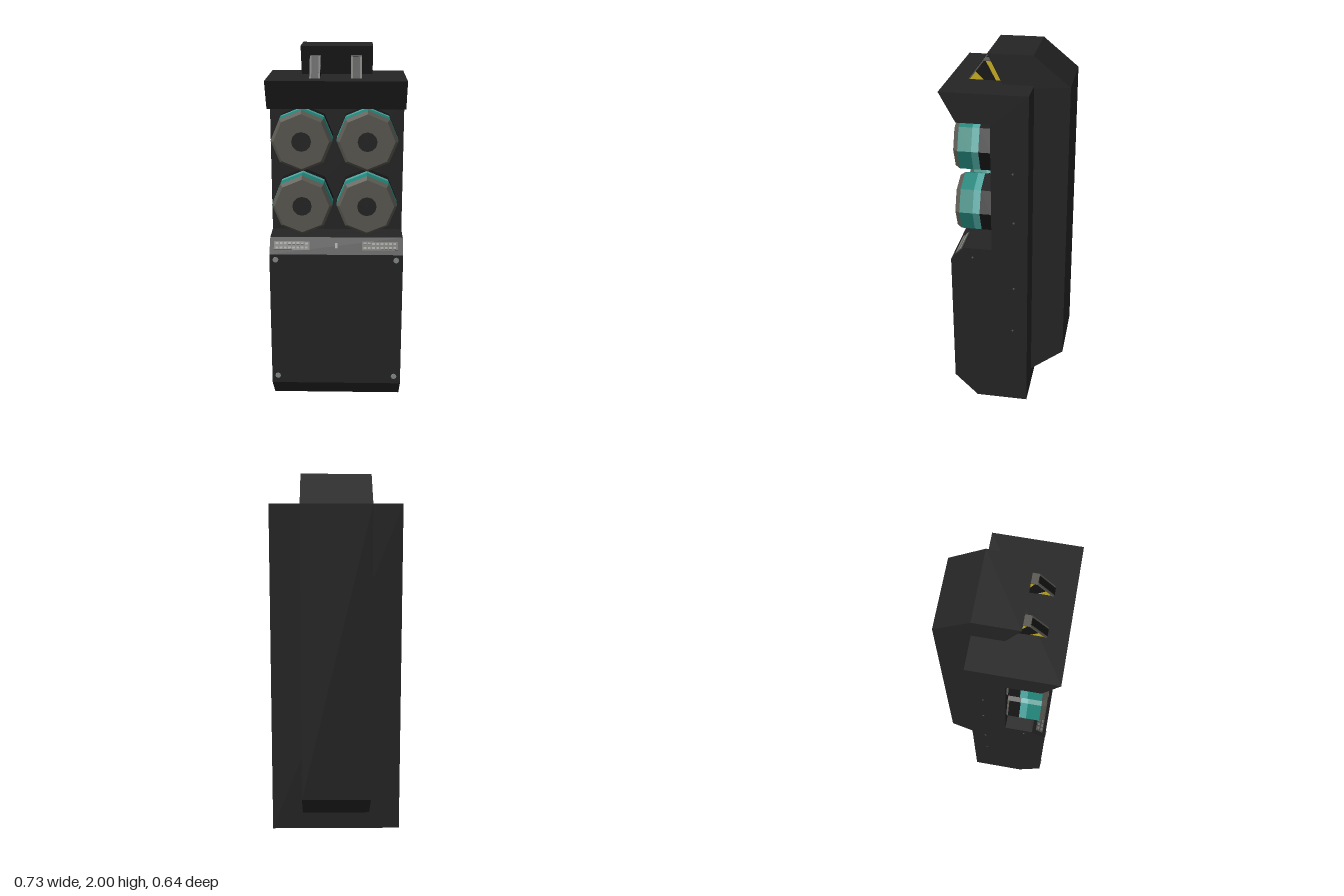
import * as THREE from 'three';

const mat = (name, color) => {
  const m = new THREE.MeshStandardMaterial({ color });
  m.name = name;
  return m;
};

export function createModel() {
  const root = new THREE.Group();
  const black = mat('casing black', 0x242424);
  const dark = mat('deep black', 0x151515);
  const steel = mat('warm steel', 0x5a5851);
  const pale = mat('pale grey', 0x858a88);
  const teal = mat('teal', 0x22857a);
  const lightTeal = mat('light teal', 0x4fa5a0);
  const yellow = mat('hazard yellow', 0xc9ae1e);

  const add = (name, geo, material, parent = root) => {
    const mesh = new THREE.Mesh(geo, material);
    mesh.name = name;
    parent.add(mesh);
    return mesh;
  };

  // Side profile of [z, y] points, swept across x and centred
  const sweep = (points, width) => {
    const shape = new THREE.Shape(points.map(([z, y]) => new THREE.Vector2(z, y)));
    const geo = new THREE.ExtrudeGeometry(shape, { depth: width, bevelEnabled: false });
    return geo.translate(0, 0, -width / 2).rotateY(-Math.PI / 2);
  };

  // Main casing with canopy, recess and sloped lower cabinet
  add('casing', sweep([
    [-0.135, 0], [0.155, 0], [0.285, 0.13], [0.285, 0.905], [0.21, 0.98],
    [0.06, 0.98], [0.06, 1.69], [0.235, 1.69], [0.32, 1.845], [-0.135, 1.845],
  ], 0.726), black);

  // Spine on the back, rising above the casing
  add('backSpine', sweep([
    [0.02, 1.83], [0.105, 2], [-0.13, 2], [-0.32, 1.845], [-0.32, 0.24],
    [-0.135, 0.095], [-0.1, 0.095], [-0.1, 1.83],
  ], 0.38), black);

  // Four octagonal drums, each made of stacked bands
  const bands = [ // back radius, front radius, back z, front z, material
    [0.155, 0.163, 0.055, 0.07, steel],
    [0.163, 0.163, 0.07, 0.13, dark],
    [0.163, 0.163, 0.13, 0.168, lightTeal],
    [0.163, 0.163, 0.168, 0.24, teal],
    [0.163, 0.146, 0.24, 0.265, steel],
  ];
  for (const x of [-0.183, 0.164]) for (const y of [1.522, 1.172]) {
    const drum = new THREE.Group();
    drum.name = 'drum';
    drum.position.set(x, y, 0);
    for (const [r0, r1, z0, z1, m] of bands) {
      const geo = new THREE.CylinderGeometry(r1, r0, z1 - z0, 8).toNonIndexed();
      geo.computeVertexNormals();
      add('drumBand', geo.rotateX(Math.PI / 2).translate(0, 0, (z0 + z1) / 2), m, drum);
    }
    add('drumHub', new THREE.CylinderGeometry(0.052, 0.052, 0.006, 12)
      .rotateX(Math.PI / 2).translate(0, 0, 0.265), black, drum);
    root.add(drum);
  }

  // Hazard-striped brackets on the canopy
  for (const x of [-0.112, 0.103]) {
    const bracket = new THREE.Group();
    bracket.name = 'hazardBracket';
    bracket.position.x = x;
    add('bracketBody', sweep([[0.215, 1.84], [0.135, 1.945], [0.07, 1.945], [0.03, 1.84]], 0.05), yellow, bracket);
    add('bracketStripe', sweep([[0.178, 1.888], [0.135, 1.945], [0.125, 1.945], [0.07, 1.84], [0.128, 1.84]], 0.054), dark, bracket);
    add('bracketFace', sweep([
      [0.221, 1.84], [0.138, 1.95], [0.07, 1.95], [0.07, 1.944], [0.134, 1.944], [0.213, 1.84],
    ], 0.056), steel, bracket);
    add('bracketInlay', sweep([[0.223, 1.84], [0.14, 1.95], [0.136, 1.95], [0.218, 1.84]], 0.036), dark, bracket);
    root.add(bracket);
  }

  // Label plates on the sloped top edge of the cabinet
  const slope = new THREE.Group();
  slope.name = 'slopePanel';
  slope.position.set(0, 0.9425, 0.2475);
  slope.rotation.x = -Math.PI / 4;
  root.add(slope);
  for (const x of [-0.243, 0.238]) {
    add('labelPlate', new THREE.BoxGeometry(0.195, 0.052, 0.004).translate(x, 0, 0.001), steel, slope);
    for (const y of [-0.013, 0.013]) for (let i = 0; i < 8; i++) {
      add('labelDash', new THREE.BoxGeometry(0.015, 0.012, 0.003).translate(x - 0.081 + i * 0.023, y, 0.003), pale, slope);
    }
  }
  add('centreMark', new THREE.BoxGeometry(0.014, 0.035, 0.004).translate(0, 0, 0.001), pale, slope);

  // Corner bolts of the front panel
  for (const x of [-0.33, 0.326]) for (const y of [0.175, 0.875]) {
    add('panelBolt', new THREE.CylinderGeometry(0.016, 0.016, 0.006, 8)
      .rotateX(Math.PI / 2).translate(x, y, 0.286), pale);
  }

  // Small rivets on both flanks
  for (const side of [-1, 1]) {
    for (const [z, y] of [[-0.055, 1.43], [-0.06, 1.15], [-0.06, 0.75], [-0.053, 0.475], [0.165, 0.925]]) {
      add('sideRivet', new THREE.CylinderGeometry(0.006, 0.006, 0.004, 6)
        .rotateZ(Math.PI / 2).translate(side * 0.363, y, z), steel);
    }
  }
  return root;
}
